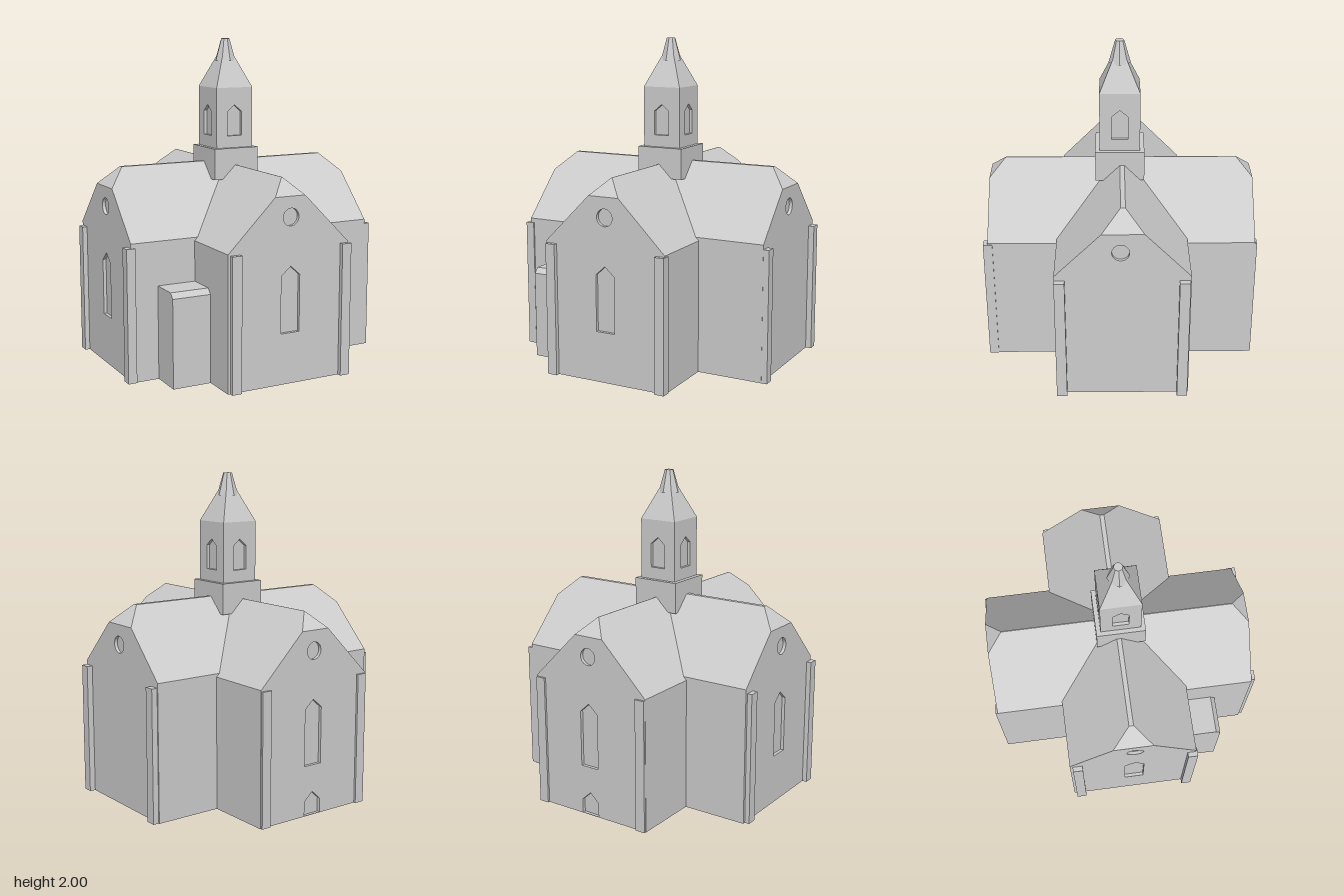
import * as THREE from 'three';

const stone = new THREE.MeshStandardMaterial({ color: 0xcccccc });
stone.name = 'pale stone';
const DEPTH = 0.02; // depth of the window recesses

function add(parent, name, geometry, x = 0, y = 0, z = 0) {
  const mesh = new THREE.Mesh(geometry, stone);
  mesh.name = name;
  mesh.position.set(x, y, z);
  parent.add(mesh);
  return mesh;
}

// Box given by its lower and upper corners
function block(parent, name, [x0, y0, z0], [x1, y1, z1]) {
  const geometry = new THREE.BoxGeometry(x1 - x0, y1 - y0, z1 - z0);
  return add(parent, name, geometry, (x0 + x1) / 2, (y0 + y1) / 2, (z0 + z1) / 2);
}

// Flat convex polygons, each as a fan of triangles
function polygons(faces) {
  const pos = [];
  for (const f of faces)
    for (let i = 1; i < f.length - 1; i++) pos.push(...f[0], ...f[i], ...f[i + 1]);
  const geometry = new THREE.BufferGeometry();
  geometry.setAttribute('position', new THREE.Float32BufferAttribute(pos, 3));
  geometry.computeVertexNormals();
  return geometry;
}

const outline = (points) => new THREE.Shape(points.map(([x, y]) => new THREE.Vector2(x, y)));
const pointed = (w, y0, y1, peak) => outline([[-w, y0], [w, y0], [w, y1], [0, peak], [-w, y1]]);
const round = (x, y, r) => {
  const path = new THREE.Path();
  path.absarc(x, y, r, 0, Math.PI * 2);
  return path;
};

// Wall panel with openings cut through it
function panel(points, holes) {
  const shape = outline(points);
  shape.holes.push(...holes);
  return new THREE.ExtrudeGeometry(shape, { depth: DEPTH, bevelEnabled: false, curveSegments: 16 });
}

// One arm of the cross, running along z, with clipped gables at both ends
function arm(name, { u0, u1, v0, v1, eave, r0, r1, ridge, clip, hip, ends }) {
  const group = new THREE.Group();
  group.name = name;
  const t = (clip - eave) / (ridge - eave);
  const h0 = u0 + (r0 - u0) * t, h1 = u1 + (r1 - u1) * t;
  const a = v0 + hip, b = v1 - hip;
  add(group, 'side walls', polygons([
    [[u1, 0, v1], [u1, 0, v0], [u1, eave, v0], [u1, eave, v1]],
    [[u0, 0, v0], [u0, 0, v1], [u0, eave, v1], [u0, eave, v0]],
    [[u0, 0, v0], [u1, 0, v0], [u1, 0, v1], [u0, 0, v1]],
  ]));
  add(group, 'roof', polygons([
    [[u1, eave, v1], [u1, eave, v0], [h1, clip, v0], [r1, ridge, a], [r1, ridge, b], [h1, clip, v1]],
    [[u0, eave, v0], [u0, eave, v1], [h0, clip, v1], [r0, ridge, b], [r0, ridge, a], [h0, clip, v0]],
    [[r0, ridge, b], [r1, ridge, b], [r1, ridge, a], [r0, ridge, a]],
    [[h0, clip, v1], [h1, clip, v1], [r1, ridge, b], [r0, ridge, b]],
    [[h1, clip, v0], [h0, clip, v0], [r0, ridge, a], [r1, ridge, a]],
  ]));
  const gable = [[u0, 0], [u1, 0], [u1, eave], [h1, clip], [h0, clip], [u0, eave]];
  ends.forEach((openings, i) => {
    add(group, 'gable wall', panel(gable, [round(0, 1, 0.052), ...openings]), 0, 0, i ? v0 : v1 - DEPTH);
    const z = i ? v0 + DEPTH : v1 - DEPTH - 0.005;
    block(group, 'recessed panes', [-0.09, 0, z], [0.09, 1.08, z + 0.005]);
  });
  return group;
}

export function createModel() {
  const model = new THREE.Group();
  model.name = 'church';
  const tall = () => pointed(0.062, 0.31, 0.655, 0.71);
  const low = () => pointed(0.06, 0.003, 0.09, 0.145);

  // Nave and transept cross at the centre
  model.add(arm('nave', {
    u0: -0.41, u1: 0.395, v0: -0.835, v1: 0.82, eave: 0.82, r0: -0.008, r1: -0.005,
    ridge: 1.22, clip: 1.122, hip: 0.1, ends: [[tall()], [tall(), low()]],
  }));
  const transept = arm('transept', {
    u0: -0.392, u1: 0.415, v0: -0.82, v1: 0.812, eave: 0.84, r0: 0, r1: 0.028,
    ridge: 1.235, clip: 1.122, hip: 0.11, ends: [[], [tall()]],
  });
  transept.rotation.y = Math.PI / 2;
  model.add(transept);

  // Corner buttresses
  const top = 0.812;
  for (const x of [-0.395, 0.34])
    block(model, 'front buttress', [x, 0, 0.79], [x + 0.062, top, 0.847]);
  for (const x of [-0.408, 0.328])
    block(model, 'back buttress', [x, 0, -0.848], [x + 0.063, top, -0.79]);
  for (const z of [-0.398, 0.338])
    block(model, 'right buttress', [-0.85, 0, z], [-0.795, top, z + 0.063]);
  for (const z of [-0.408, 0.328])
    block(model, 'left buttress', [0.795, 0, z], [0.848, top, z + 0.063]);

  // Small annex in the front right corner
  const annexShape = outline([[0.35, 0], [0.6, 0], [0.6, 0.54], [0.57, 0.572], [0.35, 0.572]]);
  const annex = add(model, 'annex',
    new THREE.ExtrudeGeometry(annexShape, { depth: 0.25, bevelEnabled: false }), -0.402);
  annex.rotation.y = -Math.PI / 2;

  // Bell tower with a pointed opening on each side
  const tower = new THREE.Group();
  tower.name = 'bell tower';
  model.add(tower);
  block(tower, 'tower base', [-0.152, 1.132, -0.152], [0.152, 1.325, 0.152]);
  const half = 0.125, inner = half - DEPTH;
  block(tower, 'tower core', [-inner, 1.3, -inner], [inner, 1.7, inner]);
  for (let i = 0; i < 4; i++) {
    const side = new THREE.Group();
    side.name = 'tower side';
    side.rotation.y = i * Math.PI / 2;
    add(side, 'tower wall', panel(
      [[-half, 1.3], [half, 1.3], [half, 1.7], [-half, 1.7]],
      [pointed(0.05, 1.4, 1.55, 1.592)]), 0, 0, inner);
    tower.add(side);
  }

  // Spire and its eight-sided cap
  const spire = new THREE.ConeGeometry(half * Math.SQRT2, 0.285, 4).toNonIndexed();
  spire.computeVertexNormals();
  add(tower, 'spire', spire, 0, 1.8425, 0).rotation.y = Math.PI / 4;
  const cap = new THREE.CylinderGeometry(0.027, 0.067, 0.14, 8).toNonIndexed();
  cap.computeVertexNormals();
  add(tower, 'spire cap', cap, 0, 1.93, 0);
  return model;
}
